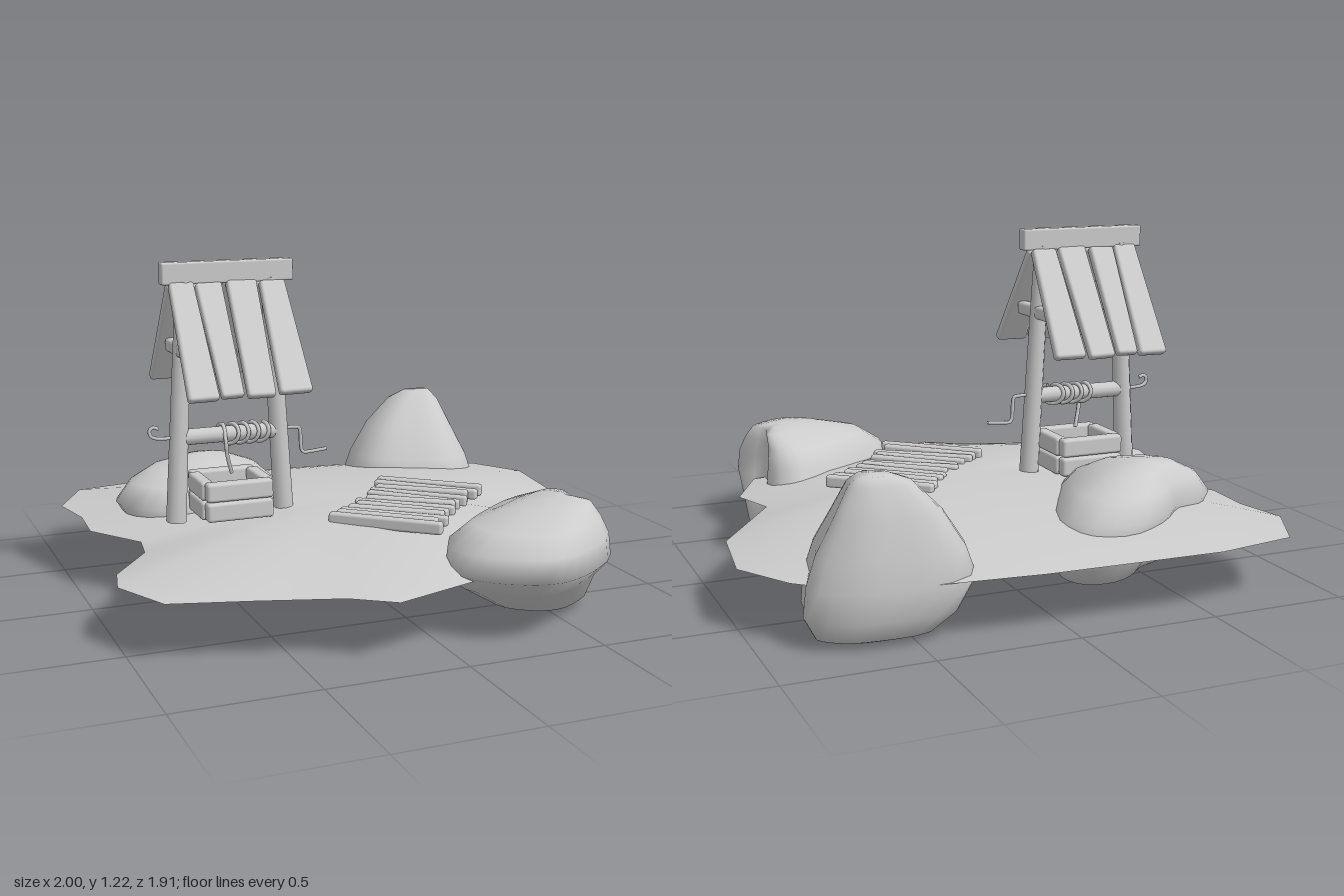
import * as THREE from 'three';
import { RoundedBoxGeometry } from 'three/addons/geometries/RoundedBoxGeometry.js';

const material = new THREE.MeshStandardMaterial({ color: 0xcccccc });
const sheetMaterial = new THREE.MeshStandardMaterial({ color: 0xcccccc, side: THREE.DoubleSide });

function add(parent, name, geometry, mat = material) {
  const mesh = new THREE.Mesh(geometry, mat);
  mesh.name = name;
  parent.add(mesh);
  return mesh;
}

// Skin closed rings of equal length, listed from the bottom up
function loft(rings) {
  const n = rings[0].length, index = [];
  for (let j = 0; j < rings.length - 1; j++) {
    for (let i = 0; i < n; i++) {
      const k = (i + 1) % n, a = j * n + i, b = j * n + k;
      index.push(a, b, b + n, a, b + n, a + n);
    }
  }
  const g = new THREE.BufferGeometry().setFromPoints(rings.flat());
  g.setIndex(index);
  g.computeVertexNormals();
  return g;
}

// Boulder: a plan outline [x, z] scaled and shifted at each level [y, scale, dx, dz]
function rock(parent, name, outline, levels) {
  const curve = new THREE.CatmullRomCurve3(outline.map(([x, z]) => new THREE.Vector3(x, 0, z)), true);
  const pts = curve.getPoints(30).slice(0, -1);
  const c = pts.reduce((s, p) => s.add(p), new THREE.Vector3()).divideScalar(pts.length);
  const first = levels[0], last = levels[levels.length - 1];
  const all = [[first[0], 0, first[2], first[3]], ...levels, [last[0] + 0.003, 0, last[2], last[3]]];
  add(parent, name, loft(all.map(([y, s, dx, dz]) => pts.map((p) =>
    new THREE.Vector3(c.x + (p.x - c.x) * s + dx, y, c.z + (p.z - c.z) * s + dz)))));
}

// Rounded timber along y, with a width factor at its bottom end
function timber(w, h, d, taper = 1, r = 0.3) {
  const g = new RoundedBoxGeometry(w, h, d, 2, Math.min(w, h, d) * r);
  const p = g.attributes.position;
  for (let i = 0; i < p.count; i++) {
    const t = 0.5 - p.getY(i) / h;
    p.setX(i, p.getX(i) * (1 + (taper - 1) * t));
  }
  return g;
}

function tube(parent, name, points, r, segments = 40) {
  const curve = new THREE.CatmullRomCurve3(points.map((p) => new THREE.Vector3(...p)), false, 'centripetal');
  return add(parent, name, new THREE.TubeGeometry(curve, segments, r, 6), sheetMaterial);
}

function buildGround(parent) {
  const edge = [[1, -0.51], [0.88, -0.71], [0.8, -0.78], [0.6, -0.89], [0.1, -0.94], [-0.2, -0.95], [-0.55, -0.96],
    [-0.85, -0.91], [-0.97, -0.68], [-0.93, -0.48], [-0.94, -0.28], [-0.8, -0.07], [-0.82, 0.06], [-0.97, 0.27],
    [-1, 0.41], [-0.9, 0.63], [-0.62, 0.71], [-0.34, 0.8], [-0.2, 0.9], [0.1, 0.8], [0.4, 0.68], [0.66, 0.57],
    [0.78, 0.33], [0.72, 0.16], [0.84, -0.02], [0.96, -0.2]];
  const rings = [];
  for (let k = 10; k >= 0; k--) {
    const t = k / 10;
    rings.push(edge.map(([x, z]) => new THREE.Vector3(0.05 + (x - 0.05) * t, 0.21 + 0.102 * (1 - t * t), z * t)));
  }
  add(parent, 'ground', loft(rings), sheetMaterial);
}

function buildRocks(parent) {
  rock(parent, 'backLeftRock',
    [[-0.12, -0.6], [-0.17, -0.74], [-0.32, -0.78], [-0.48, -0.71], [-0.6, -0.6], [-0.75, -0.53], [-0.81, -0.4],
      [-0.74, -0.24], [-0.55, -0.16], [-0.35, -0.17], [-0.22, -0.36]],
    [[0.015, 0.3, 0.09, 0], [0.045, 0.65, 0.09, 0], [0.12, 0.88, 0.08, 0], [0.2, 0.97, 0.04, 0], [0.28, 1, 0, 0],
      [0.35, 0.8, -0.01, 0], [0.4, 0.48, -0.02, 0], [0.417, 0.2, -0.02, 0]]);
  rock(parent, 'backRightRock',
    [[0.84, -0.78], [0.74, -0.87], [0.6, -0.9], [0.33, -0.88], [0.27, -0.7], [0.31, -0.56], [0.45, -0.48],
      [0.65, -0.43], [0.78, -0.53], [0.81, -0.66]],
    [[0.002, 0.35, 0.05, -0.02], [0.03, 0.7, 0.05, -0.01], [0.1, 0.92, 0.03, 0], [0.2, 1, 0, 0],
      [0.3, 0.88, 0, -0.01], [0.42, 0.64, 0.01, -0.05], [0.52, 0.38, 0.03, -0.07], [0.552, 0.2, 0.05, -0.09]]);
  rock(parent, 'frontRock',
    [[0.62, 0.55], [0.65, 0.36], [0.57, 0.28], [0.44, 0.32], [0.27, 0.44], [0.1, 0.6], [0.09, 0.78], [0.2, 0.9],
      [0.35, 0.95], [0.52, 0.88], [0.69, 0.71]],
    [[0.012, 0.35, 0.12, -0.1], [0.04, 0.62, 0.1, -0.1], [0.14, 0.9, 0.03, -0.08], [0.22, 1, 0, 0],
      [0.3, 0.97, 0, 0], [0.36, 0.78, 0.03, 0], [0.405, 0.45, 0.1, 0], [0.417, 0.2, 0.12, 0]]);
}

function buildWell(parent) {
  const well = new THREE.Group();
  well.name = 'well';
  well.position.set(-0.465, 0, -0.047);
  parent.add(well);

  // Leaning posts, each with a cross brace under the roof
  for (const s of [-1, 1]) {
    const post = add(well, 'post', new THREE.CylinderGeometry(0.03, 0.037, 0.88, 10));
    post.position.set(s * 0.183, 0.72, 0);
    post.rotation.z = s * 0.055;
    const brace = add(well, 'roofBrace', timber(0.045, 0.28, 0.05));
    brace.position.set(s * 0.175, 0.912, 0);
    brace.rotation.x = Math.PI / 2;
  }

  // Ridge beam, a little thinner in the middle
  const beam = new RoundedBoxGeometry(0.49, 0.08, 0.05, 3, 0.008);
  const p = beam.attributes.position;
  for (let i = 0; i < p.count; i++) p.setY(i, p.getY(i) * (0.88 + 0.12 * Math.abs(p.getX(i)) / 0.245));
  add(well, 'ridgeBeam', beam).position.y = 1.185;

  // Roof planks: x, top width, taper, lean
  const planks = [[-0.172, 0.09, 1.25, 0.01], [-0.07, 0.098, 0.82, 0.025], [0.044, 0.112, 0.9, -0.02], [0.165, 0.095, 1.3, 0.01]];
  for (const s of [-1, 1]) {
    const slope = new THREE.Group();
    slope.name = s > 0 ? 'frontRoof' : 'backRoof';
    slope.position.set(0, 0.96, s * 0.137);
    slope.rotation.x = -s * 0.59;
    well.add(slope);
    planks.forEach(([x, w, taper, lean], i) => {
      const m = add(slope, 'roofPlank', timber(w, 0.455 - 0.012 * (i % 2), 0.035, taper));
      m.position.x = x;
      m.rotation.z = lean;
    });
  }

  // Winding axle with hook, crank and rope
  const axle = add(well, 'axle', new THREE.CylinderGeometry(0.03, 0.03, 0.38, 12));
  axle.position.y = 0.592;
  axle.rotation.z = Math.PI / 2;
  tube(well, 'axleHook', [[-0.17, 0.595, 0], [-0.27, 0.595, 0], [-0.293, 0.605, 0], [-0.298, 0.625, 0],
    [-0.285, 0.637, 0], [-0.265, 0.63, 0]], 0.007);
  tube(well, 'crank', [[0.17, 0.597, 0], [0.25, 0.597, 0], [0.27, 0.594, 0], [0.275, 0.58, 0], [0.28, 0.51, 0],
    [0.288, 0.498, 0], [0.31, 0.498, 0], [0.38, 0.504, 0]], 0.007);
  const coil = [];
  for (let i = 0; i <= 48; i++) {
    const a = (i / 12) * Math.PI * 2;
    coil.push([0.13 - 0.155 * i / 48 + 0.02 * Math.sin(a), 0.592 + 0.036 * Math.cos(a), 0.036 * Math.sin(a)]);
  }
  coil.push([-0.025, 0.57, 0.038], [-0.02, 0.52, 0.035], [0, 0.45, 0.02]);
  tube(well, 'rope', coil, 0.008, 150);

  // Square curb of two stacked courses
  for (const y of [0.332, 0.405]) {
    for (const s of [-1, 1]) {
      const face = add(well, 'curbLongPlank', new RoundedBoxGeometry(0.25, 0.07, 0.048, 2, 0.012));
      face.position.set(0, y, s * 0.108);
      const side = add(well, 'curbSidePlank', new RoundedBoxGeometry(0.048, 0.07, 0.18, 2, 0.012));
      side.position.set(s * 0.112, y, 0);
    }
  }
}

// Boardwalk of uneven planks half sunk in the ground
function buildBoardwalk(parent) {
  const path = new THREE.Group();
  path.name = 'boardwalk';
  path.position.set(0.165, 0.307, 0.145);
  path.rotation.y = -0.73;
  parent.add(path);
  const yaw = [0.02, -0.03, 0.05, 0.01, -0.1, 0.08, 0.14, -0.04, 0.06, 0.1, -0.03, 0];
  yaw.forEach((turn, i) => {
    const t = i / (yaw.length - 1) - 0.5;
    const middle = 1 - 4 * t * t;
    const plank = add(path, 'pathPlank', timber(0.046, 0.42 - 0.06 * middle + 0.02 * Math.sin(i * 2.3), 0.036, 1 + 0.2 * Math.sin(i * 4)));
    plank.rotation.set(0.03 * Math.sin(i * 1.7) * middle, turn * 0.6, Math.PI / 2, 'YXZ');
    plank.geometry.rotateY(Math.PI / 2);
    plank.geometry.rotateY(-Math.PI / 2);
    plank.position.set(0.012 * Math.sin(i * 3.1), 0.004 - 0.008 * middle, t * 0.56);
  });
}

export function createModel() {
  const model = new THREE.Group();
  model.name = 'wellScene';
  buildGround(model);
  buildRocks(model);
  buildWell(model);
  buildBoardwalk(model);
  return model;
}
